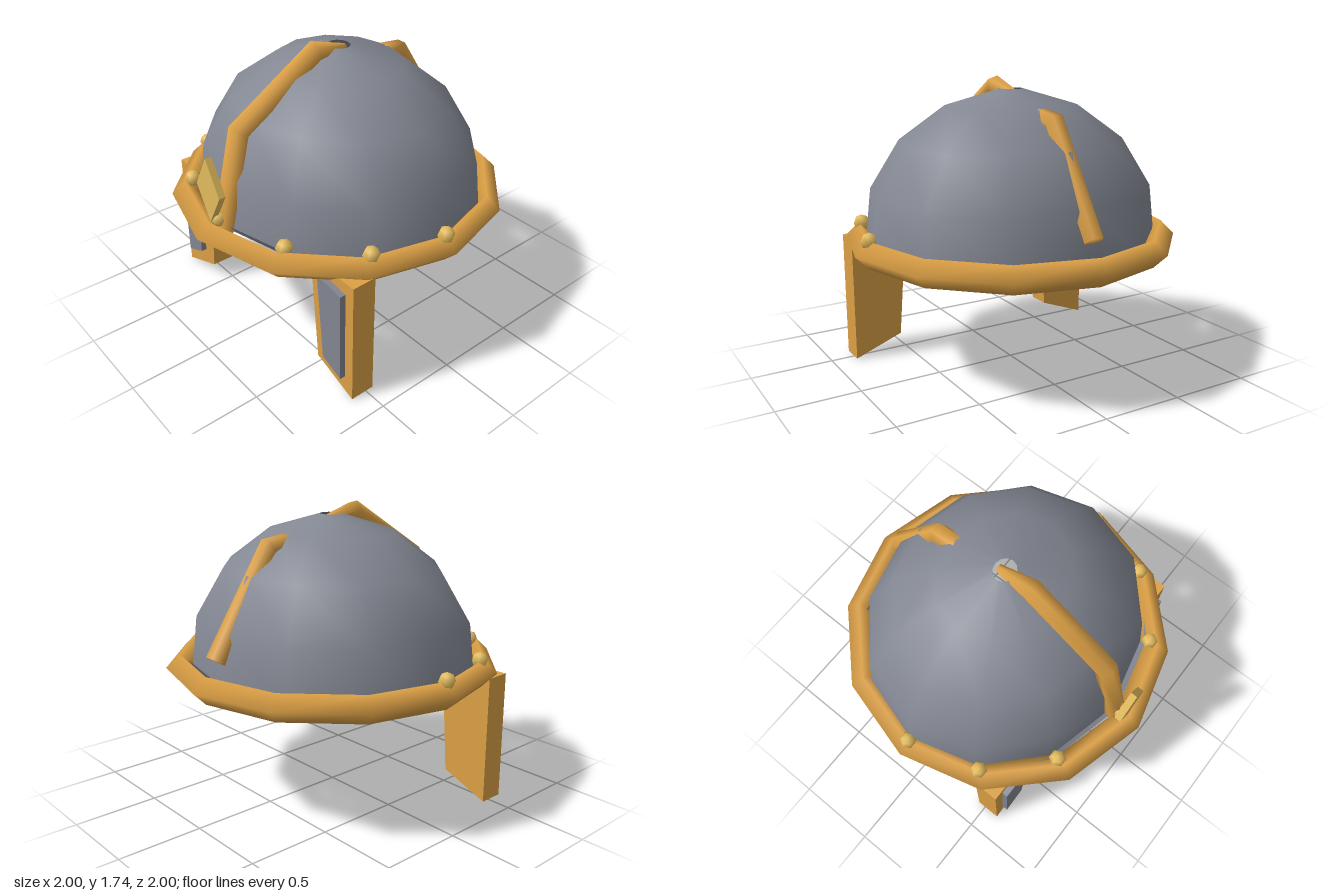
import * as THREE from 'three';

// Extruded plate from an [x, y] outline, starting at depth z
function plate(points, z, depth) {
  const shape = new THREE.Shape(points.map(([x, y]) => new THREE.Vector2(x, y)));
  const geo = new THREE.ExtrudeGeometry(shape, { depth, bevelEnabled: false });
  geo.translate(0, 0, z);
  return geo;
}

// Twelve-sided lathe from [radius, y] pairs, slightly narrower front to back
function bowl(profile) {
  const geo = new THREE.LatheGeometry(profile.map(([r, y]) => new THREE.Vector2(r, y)), 12);
  geo.scale(1, 1, 0.903);
  geo.translate(0, 0, -0.01);
  return geo;
}

// Six-sided bar swept along a [z, y, radius] path in the x = 0 plane, with mitred bends.
// The section is turned by phase and slightly flattened on its inner side.
function bentBar(path, phase) {
  const sides = 6, pos = [], index = [];
  const pts = path.map(([z, y]) => new THREE.Vector2(z, y));
  pts.forEach((p, i) => {
    const before = pts[i].clone().sub(pts[Math.max(i - 1, 0)]).normalize();
    const after = pts[Math.min(i + 1, pts.length - 1)].clone().sub(p).normalize();
    const t = before.clone().add(after).normalize();
    const r = path[i][2];
    const miter = r / t.dot(after.lengthSq() ? after : before);
    for (let j = 0; j < sides; j++) {
      const a = (j / sides) * Math.PI * 2 + phase;
      const n = Math.cos(a) * miter * (Math.cos(a) < 0 ? 0.8 : 1);
      pos.push(Math.sin(a) * r, p.y - t.x * n, p.x + t.y * n);
    }
  });
  for (let i = 0; i < pts.length - 1; i++) {
    for (let j = 0; j < sides; j++) {
      const a = i * sides + j, b = i * sides + (j + 1) % sides;
      index.push(a, b, a + sides, b, b + sides, a + sides);
    }
  }
  // End caps
  const e = (pts.length - 1) * sides;
  for (let j = 1; j < sides - 1; j++) index.push(0, j + 1, j, e, e + j, e + j + 1);
  const geo = new THREE.BufferGeometry();
  geo.setAttribute('position', new THREE.Float32BufferAttribute(pos, 3));
  geo.setIndex(index);
  geo.computeVertexNormals();
  return geo;
}

export function createModel() {
  const helmet = new THREE.Group();
  helmet.name = 'helmet';

  const steel = new THREE.MeshStandardMaterial({ color: 0x838792, side: THREE.DoubleSide });
  steel.name = 'steel';
  const bronze = new THREE.MeshStandardMaterial({ color: 0xdda146 });
  bronze.name = 'bronze';
  const brass = new THREE.MeshStandardMaterial({ color: 0xe4bc5e });
  brass.name = 'brass';

  const add = (name, geo, mat) => {
    const mesh = new THREE.Mesh(geo, mat);
    mesh.name = name;
    helmet.add(mesh);
    return mesh;
  };

  // Hollow bowl with a small hole at the crown, and a turned-up lip tucked inside the rim
  add('dome', bowl([[0.9, 0.79], [0.863, 1.1], [0.68, 1.39], [0.4, 1.59], [0.07, 1.685]]), steel);
  add('domeLip', bowl([[0.935, 0.84], [0.9, 0.79]]), steel);

  // Rim with a diamond section
  const rim = new THREE.TorusGeometry(0.92, 0.08, 4, 12);
  rim.rotateX(Math.PI / 2);
  add('rim', rim, bronze).position.y = 0.803;

  // Crest bars over the dome
  add('frontCrest', bentBar([
    [0.82, 0.8, 0.067], [0.68, 1.365, 0.067], [0.165, 1.68, 0.067], [-0.05, 1.655, 0.025],
  ], -Math.PI / 12), bronze);
  add('backCrest', bentBar([
    [-0.3, 1.55, 0.06], [-0.467, 1.53, 0.06], [-0.844, 0.952, 0.06],
  ], Math.PI / 6), bronze);

  // Diamond badge on the brow
  add('browDiamond', plate([[0, 0.88], [0.113, 1.08], [0, 1.28], [-0.113, 1.08]], 0.865, 0.04), brass);

  // Studs around the front half of the rim
  const studGeo = new THREE.SphereGeometry(0.05, 6, 4);
  for (let i = 0; i <= 6; i++) {
    const a = (i / 6) * Math.PI;
    add('stud', studGeo, brass).position.set(Math.cos(a) * 0.915, 0.884, Math.sin(a) * 0.855);
  }

  // Cheek guards with raised steel panels
  for (const s of [1, -1]) {
    const side = s > 0 ? 'left' : 'right';
    const mirror = (pts) => pts.map(([x, y]) => [x * s, y]);
    add(side + 'CheekGuard', plate(mirror(
      [[0.853, 0.003], [0.853, 0.78], [0.5, 0.78], [0.552, 0.115]]), 0.45, 0.15), bronze);
    add(side + 'CheekPanel', plate(mirror(
      [[0.79, 0.13], [0.79, 0.705], [0.595, 0.735], [0.64, 0.19]]), 0.598, 0.037), steel);
  }
  return helmet;
}
